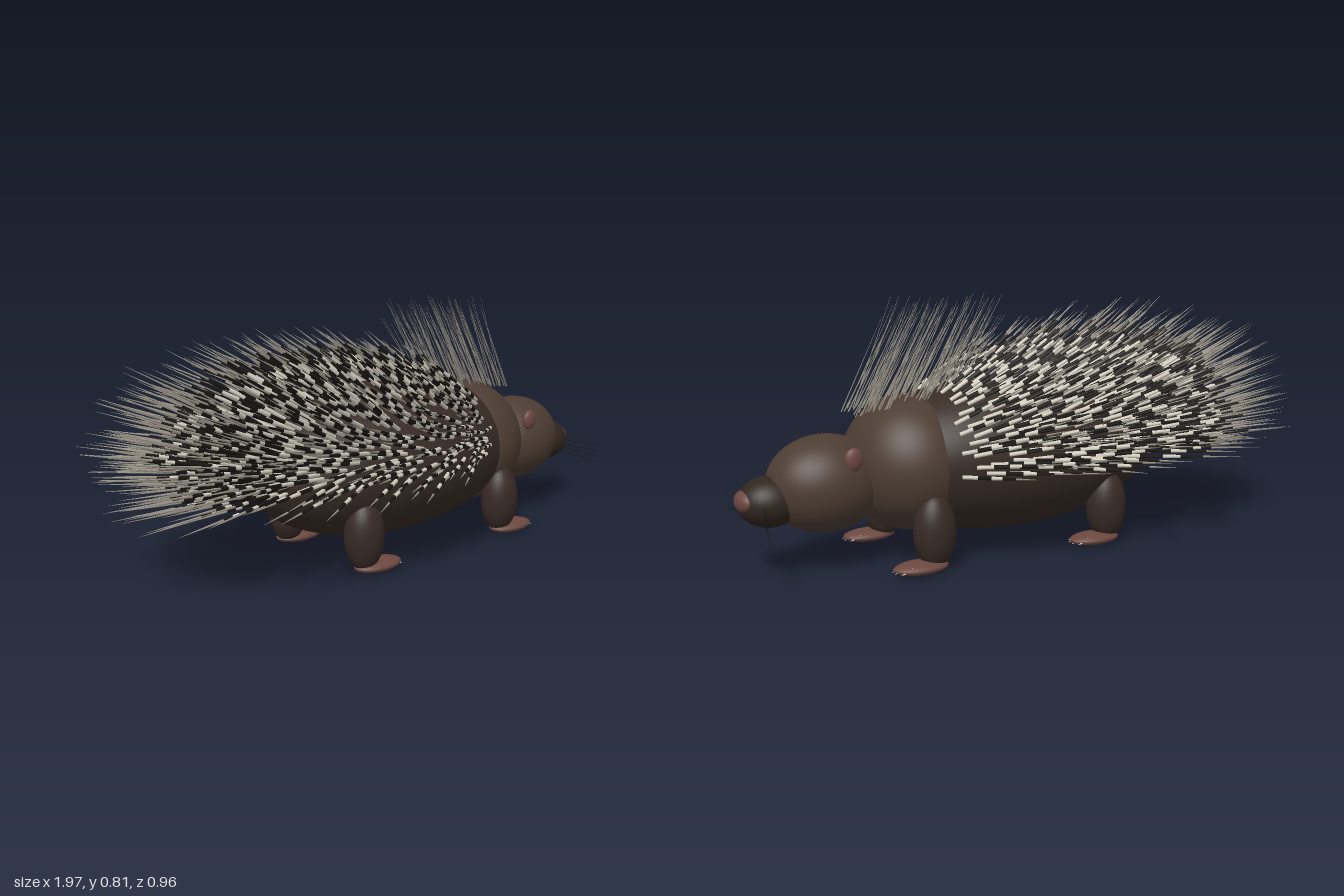
import * as THREE from 'three';
import { mergeGeometries } from 'three/addons/utils/BufferGeometryUtils.js';

const MID = 0.025; // z of the body's plane of symmetry
const UP = new THREE.Vector3(0, 1, 0);
const mat = (color) => new THREE.MeshStandardMaterial({ color, roughness: 0.85 });
const fur = mat(0x372b25), faceFur = mat(0x4d3d33), legFur = mat(0x372a25), snoutFur = mat(0x30261f);
const skin = mat(0x6b4840), dark = mat(0x1a1613), pale = mat(0xdcd6c8), tipGrey = mat(0x9c968a);

function seeded(seed) {
  return () => {
    seed = (seed * 16807) % 2147483647;
    return seed / 2147483647;
  };
}

function ellipsoid(name, material, [x, y, z], [rx, ry, rz], detail = 40) {
  const mesh = new THREE.Mesh(new THREE.SphereGeometry(1, detail, Math.round(detail * 0.7)), material);
  mesh.name = name;
  mesh.position.set(x, y, z);
  mesh.scale.set(rx, ry, rz);
  return mesh;
}

// Tapered piece of a spine between two points
function segment(a, b, ra, rb, sides = 5) {
  const dir = b.clone().sub(a);
  const geo = new THREE.CylinderGeometry(rb, ra, dir.length(), sides, 1, true);
  geo.applyQuaternion(new THREE.Quaternion().setFromUnitVectors(UP, dir.normalize()));
  return geo.translate((a.x + b.x) / 2, (a.y + b.y) / 2, (a.z + b.z) / 2);
}

function merged(name, geos, material) {
  const mesh = new THREE.Mesh(mergeGeometries(geos), material);
  mesh.name = name;
  return mesh;
}

// Adds one quill, its bands sorted by colour into [pale, dark, tip]
function addQuill(bands, base, dir, length, stops, bandOf) {
  const at = (t) => base.clone().addScaledVector(dir, t * length);
  const width = (t) => (t < 0.4 ? 0.0065 : 0.0003 + 0.0103 * (1 - t));
  bandOf.forEach((band, k) =>
    bands[band].push(segment(at(stops[k]), at(stops[k + 1]), width(stops[k]), width(stops[k + 1]))));
}

// Banded quills growing from the upper half of the body ellipsoid
function bodyQuills(bands, centre, radii) {
  const rnd = seeded(4217);
  const count = 450;
  for (let i = 0; i < count; i++) {
    const s = (i + rnd()) / count; // 0 at the shoulders, 1 at the rump
    const x = 0.37 - 0.74 * s + (rnd() - 0.5) * 0.04;
    const u = (x - centre.x) / radii.x;
    const ring = Math.sqrt(1 - u * u);
    const phi = (((i * 0.618034) % 1) * 2 - 1) * 1.63 + (rnd() - 0.5) * 0.08;
    const base = new THREE.Vector3(x,
      centre.y + radii.y * ring * Math.cos(phi),
      centre.z + radii.z * ring * Math.sin(phi));
    const dir = base.clone().sub(centre).divide(radii).divide(radii).normalize().multiplyScalar(0.48 + 0.16 * s);
    dir.x -= 0.82 + (rnd() - 0.5) * 0.2;
    dir.y += (rnd() - 0.5) * 0.18 + 0.06 * s;
    dir.z += (rnd() - 0.5) * 0.18;
    const length = (0.24 + 0.2 * s) * (0.82 + 0.36 * rnd());
    addQuill(bands, base, dir.normalize(), length, [0, 0.2, 0.38, 0.52, 0.7, 1], [0, 1, 0, 1, 2]);
  }
}

// Longer quills fanning back from the rump
function tailQuills(bands) {
  const rnd = seeded(77);
  const count = 140;
  for (let i = 0; i < count; i++) {
    const r = Math.sqrt((i + 0.5) / count);
    const a = i * 2.399963;
    const up = r * Math.sin(a), out = r * Math.cos(a);
    const base = new THREE.Vector3(-0.47 + 0.13 * r * r, 0.345 + 0.1 * up, MID + 0.12 * out);
    const dir = new THREE.Vector3(-1,
      0.24 + 0.32 * up + (rnd() - 0.5) * 0.14, 0.52 * out + (rnd() - 0.5) * 0.14).normalize();
    addQuill(bands, base, dir, 0.43 + 0.1 * rnd(), [0, 0.22, 0.46, 0.52, 0.6, 1], [0, 1, 0, 1, 2]);
  }
}

function buildQuills(centre, radii) {
  const bands = [[], [], []];
  bodyQuills(bands, centre, radii);
  tailQuills(bands);
  const group = new THREE.Group();
  group.name = 'quills';
  group.add(merged('paleQuillBands', bands[0], pale),
    merged('darkQuillBands', bands[1], dark),
    merged('quillTips', bands[2], tipGrey));
  return group;
}

// Fine upright hairs along the neck, leaning back
function buildCrest() {
  const rnd = seeded(991);
  const hairs = [];
  const count = 110;
  for (let i = 0; i < count; i++) {
    const t = i / (count - 1);
    const x = 0.28 + 0.37 * t;
    const dz = (i % 2 ? 1 : -1) * (0.008 + 0.062 * rnd());
    const base = new THREE.Vector3(x, 0.52 - 0.05 * t, MID + dz);
    const tip = new THREE.Vector3(x - 0.14 - 0.04 * rnd(), 0.74 + 0.07 * rnd(), MID + dz * 1.4 + (rnd() - 0.5) * 0.03);
    hairs.push(segment(base, tip, 0.002, 0.0004, 4));
  }
  return merged('crestHairs', hairs, tipGrey);
}

// Leg with a flat foot and small claws
function buildLeg(name, x, side) {
  const group = new THREE.Group();
  group.name = name;
  const z = MID + side * 0.194;
  group.add(ellipsoid('leg', legFur, [x, 0.125, z], [0.067, 0.115, 0.06], 28));
  group.add(ellipsoid('foot', skin, [x + 0.05, 0.022, z + side * 0.007], [0.088, 0.02, 0.052], 28));
  const claws = [];
  for (let i = -1.5; i <= 1.5; i++) {
    const cz = z + side * 0.007 + i * 0.021;
    const cx = x + 0.128 - Math.abs(i) * 0.012;
    claws.push(segment(new THREE.Vector3(cx - 0.018, 0.028, cz), new THREE.Vector3(cx + 0.018, 0.016, cz), 0.007, 0.0004, 6));
  }
  group.add(merged('claws', claws, pale));
  return group;
}

export function createModel() {
  const model = new THREE.Group();
  model.name = 'porcupine';

  // Trunk
  const centre = new THREE.Vector3(0.1, 0.305, MID), radii = new THREE.Vector3(0.545, 0.25, 0.275);
  model.add(ellipsoid('body', fur, centre.toArray(), radii.toArray(), 56));
  model.add(ellipsoid('shoulders', faceFur, [0.45, 0.302, MID], [0.205, 0.212, 0.226], 48));
  model.add(ellipsoid('tail', fur, [-0.37, 0.34, MID], [0.12, 0.1, 0.13], 28));

  // Head
  model.add(ellipsoid('head', faceFur, [0.725, 0.266, MID], [0.18, 0.149, 0.148], 44));
  model.add(ellipsoid('snout', snoutFur, [0.895, 0.231, MID], [0.098, 0.077, 0.085], 32));
  model.add(ellipsoid('nose', skin, [0.97, 0.239, MID], [0.03, 0.035, 0.052], 24));
  for (const side of [1, -1]) {
    model.add(ellipsoid('ear', skin, [0.678, 0.355, MID + side * 0.124], [0.029, 0.036, 0.016], 20));
  }

  // Whiskers
  const whiskers = [];
  for (const side of [1, -1]) {
    for (let i = 0; i < 4; i++) {
      whiskers.push(segment(
        new THREE.Vector3(0.935, 0.232 - i * 0.014, MID + side * 0.06),
        new THREE.Vector3(0.965, 0.232 - i * 0.021, MID + side * 0.21), 0.0018, 0.0006, 4));
    }
  }
  model.add(merged('whiskers', whiskers, dark));

  // Legs
  for (const side of [1, -1]) {
    model.add(buildLeg('foreLeg', 0.453, side));
    model.add(buildLeg('hindLeg', -0.163, side));
  }

  model.add(buildQuills(centre, radii), buildCrest());
  return model;
}
